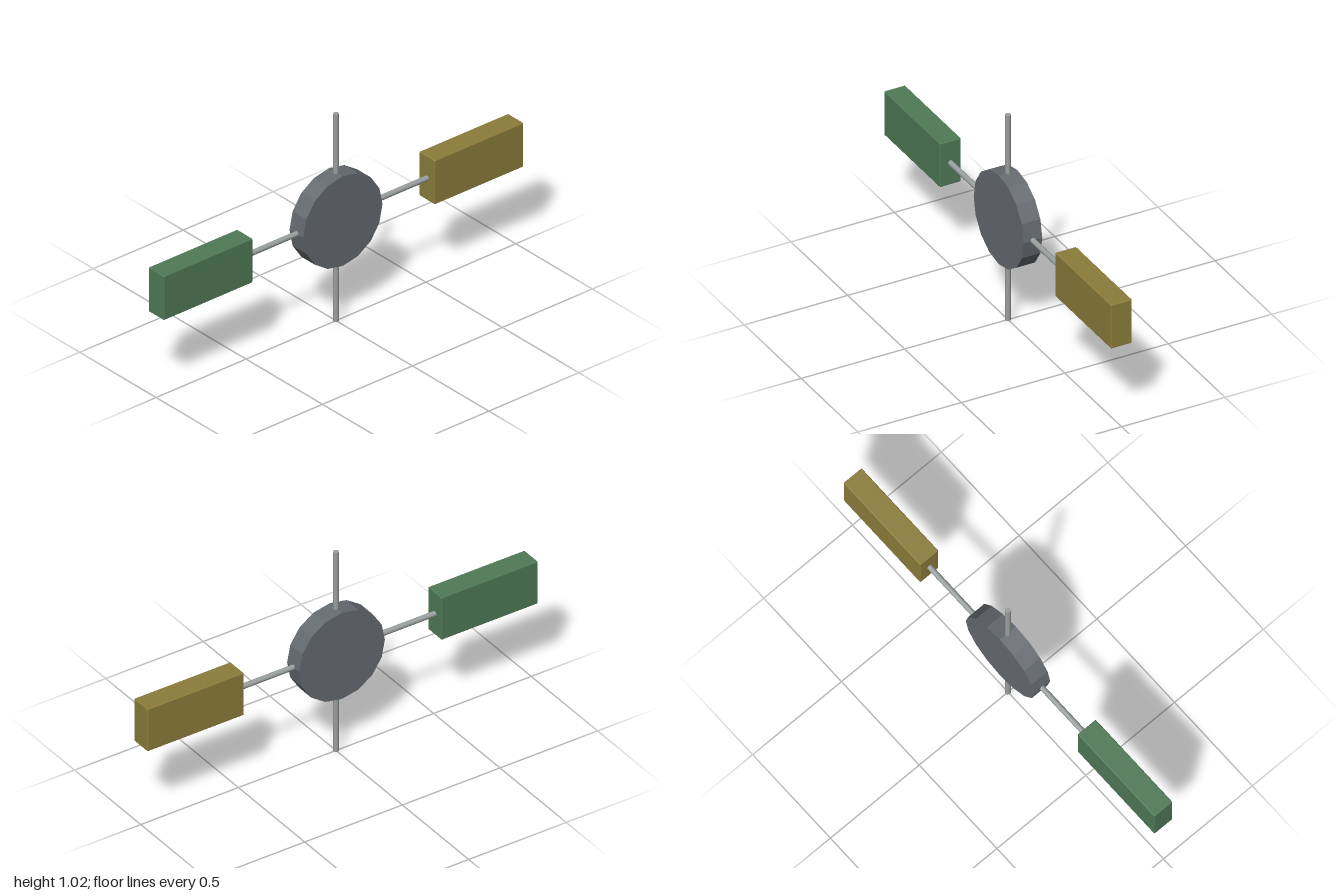
import * as THREE from 'three';
import { RoundedBoxGeometry } from 'three/addons/geometries/RoundedBoxGeometry.js';

const CENTER_Y = 0.508;

function material(name, color, flatShading = false) {
  const m = new THREE.MeshStandardMaterial({ color, flatShading });
  m.name = name;
  return m;
}

export function createModel() {
  const model = new THREE.Group();
  model.name = 'crossArmRotor';

  const hubGrey = material('hub grey', 0x666b70, true);
  const rodGrey = material('rod grey', 0x9aa09f);
  const green = material('panel green', 0x4f7a57);
  const ochre = material('panel ochre', 0x8c7d3b);

  function add(name, geometry, mat, x, y) {
    const mesh = new THREE.Mesh(geometry, mat);
    mesh.name = name;
    mesh.position.set(x, y, 0);
    model.add(mesh);
    return mesh;
  }

  // Sixteen-sided hub, a corner pointing straight up
  const hub = new THREE.CylinderGeometry(0.22, 0.22, 0.09, 16).rotateX(Math.PI / 2);
  add('hub', hub, hubGrey, 0, CENTER_Y);

  // Vertical rod through the hub
  add('verticalRod', new THREE.CylinderGeometry(0.0125, 0.0125, 2 * CENTER_Y, 16), rodGrey, 0, CENTER_Y);

  // Horizontal rod joining the two panels
  const arm = new THREE.CylinderGeometry(0.0125, 0.0125, 1.02, 16).rotateZ(Math.PI / 2);
  add('horizontalRod', arm, rodGrey, 0, CENTER_Y);

  // End panels with slightly softened edges
  const panel = new RoundedBoxGeometry(0.494, 0.216, 0.102, 2, 0.005);
  add('leftPanel', panel, ochre, 0.753, CENTER_Y);
  add('rightPanel', panel, green, -0.753, CENTER_Y);

  return model;
}
